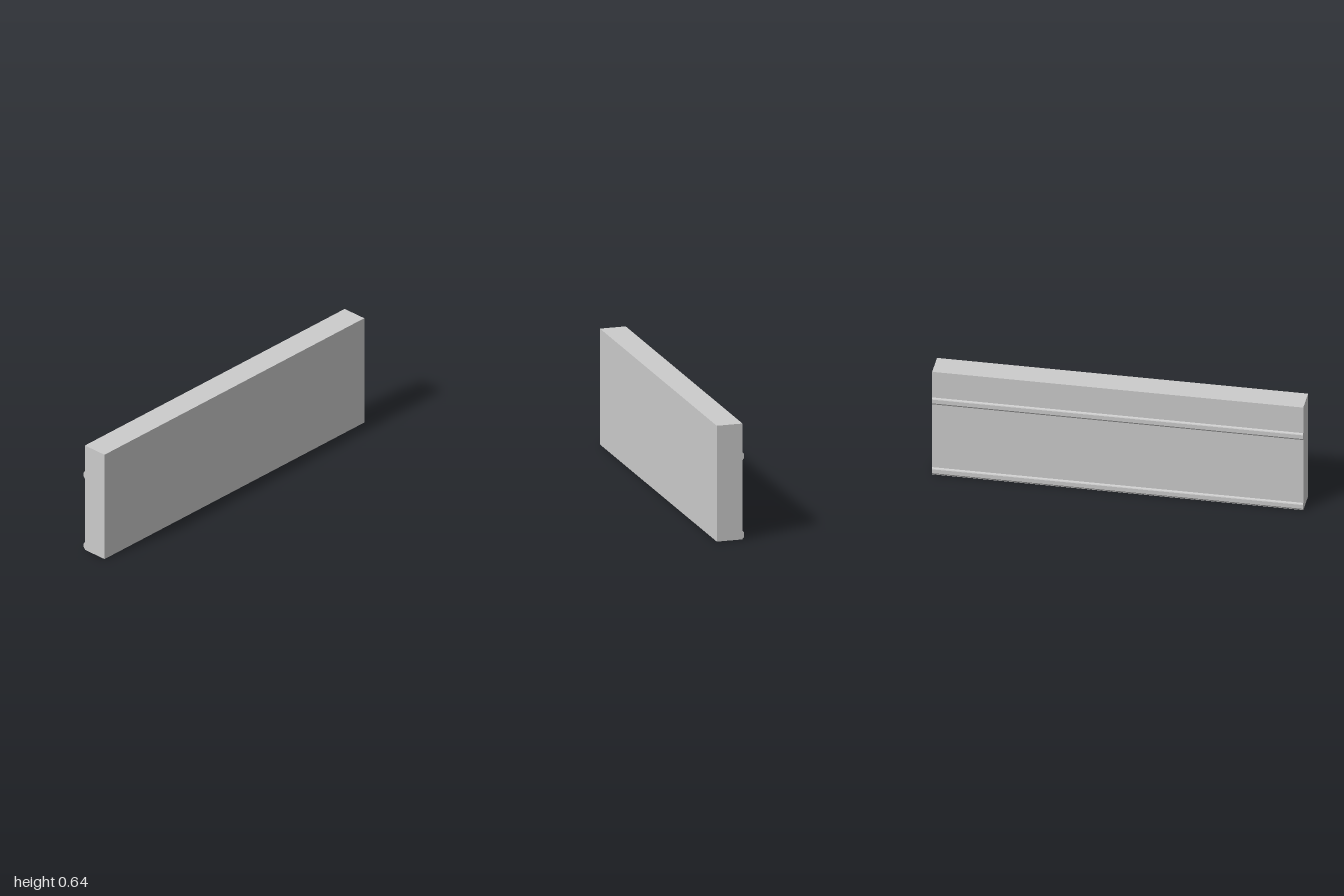
import * as THREE from 'three';

const LENGTH = 2, HEIGHT = 0.638;
const LEFT = 0.0755, FACE = -0.068, RIDGE = -0.0765;

export function createModel() {
  const group = new THREE.Group();
  group.name = 'ribbedBoard';
  const material = new THREE.MeshStandardMaterial({ color: 0xcccccc, flatShading: true });

  // Extrudes an x-y cross-section along the full length
  const addBar = (name, points) => {
    const shape = new THREE.Shape(points.map(([x, y]) => new THREE.Vector2(x, y)));
    const geometry = new THREE.ExtrudeGeometry(shape, { depth: LENGTH, bevelEnabled: false });
    geometry.translate(0, 0, -LENGTH / 2);
    const mesh = new THREE.Mesh(geometry, material);
    mesh.name = name;
    group.add(mesh);
  };

  // Main slab
  addBar('board', [[FACE, 0], [LEFT, 0], [LEFT, HEIGHT], [FACE, HEIGHT]]);

  // Two chamfered ridges running along the right face
  const ridges = { lowerRidge: 0.002, upperRidge: 0.436 };
  for (const [name, y] of Object.entries(ridges)) {
    addBar(name, [
      [FACE, y], [FACE, y + 0.043], [RIDGE + 0.002, y + 0.038],
      [RIDGE, y + 0.034], [RIDGE, y + 0.011],
    ]);
  }

  return group;
}
